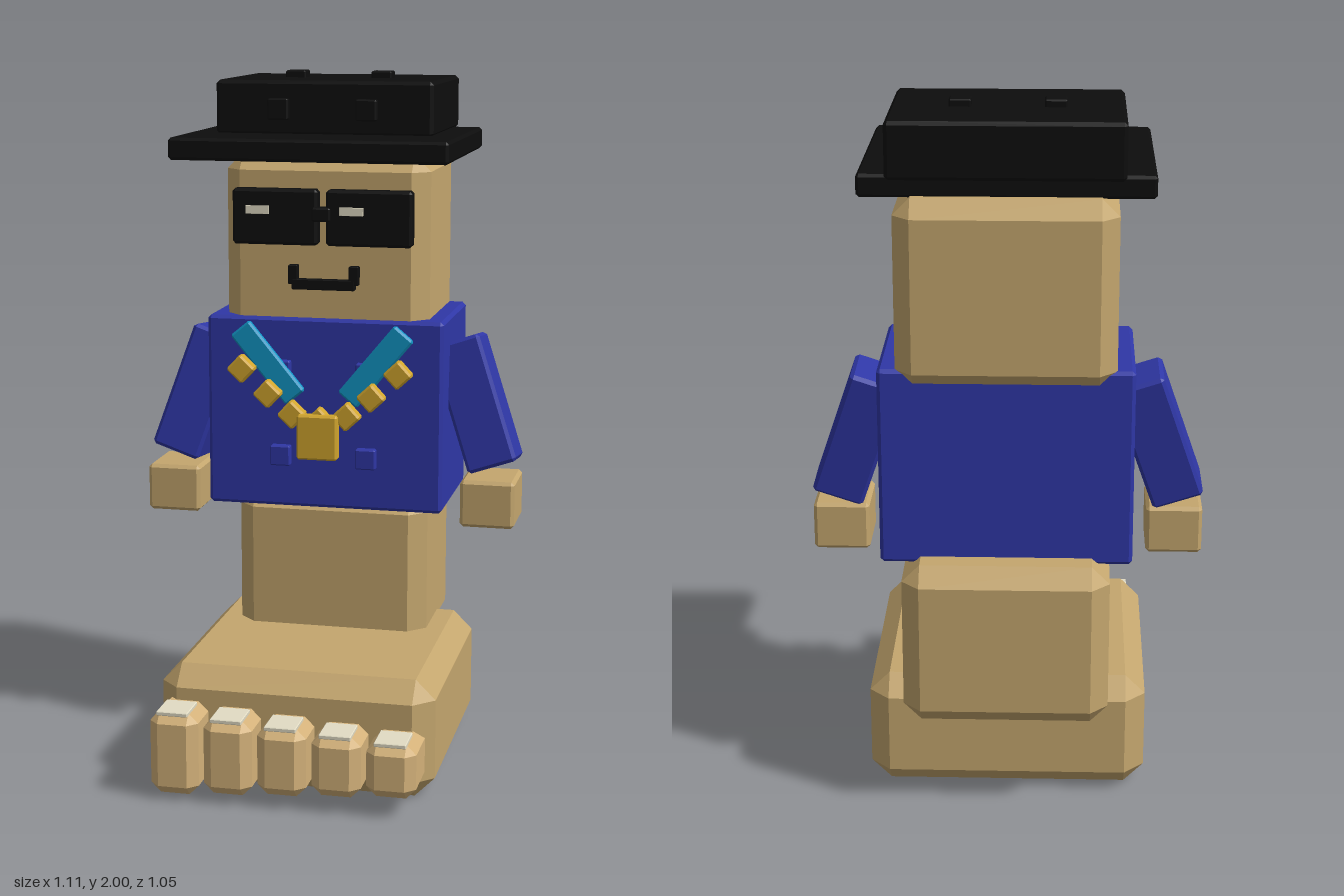
import * as THREE from 'three';
import { ConvexGeometry } from 'three/addons/geometries/ConvexGeometry.js';

const mat = (name, color) => {
  const m = new THREE.MeshStandardMaterial({ color });
  m.name = name;
  return m;
};

// Box with every edge cut off at 45 degrees by c
function chamferBox(w, h, d, c) {
  const x = w / 2, y = h / 2, z = d / 2, points = [];
  for (const sx of [-1, 1]) for (const sy of [-1, 1]) for (const sz of [-1, 1]) {
    points.push(
      new THREE.Vector3(sx * x, sy * (y - c), sz * (z - c)),
      new THREE.Vector3(sx * (x - c), sy * y, sz * (z - c)),
      new THREE.Vector3(sx * (x - c), sy * (y - c), sz * z));
  }
  return new ConvexGeometry(points);
}

export function createModel() {
  const root = new THREE.Group();
  root.name = 'footFigure';

  const skin = mat('skin', 0xc4a66e);
  const toeSkin = mat('toe skin', 0xd4b27a);
  const nail = mat('nail', 0xe2dcc4);
  const blue = mat('blue shirt', 0x2f37a6);
  const black = mat('black', 0x0d0d0d);
  const teal = mat('teal', 0x1296c6);
  const gold = mat('gold', 0xd2a62e);

  // Add a chamfered box by its limits on each axis
  function part(name, material, [x0, x1], [y0, y1], [z0, z1], c, parent = root) {
    const mesh = new THREE.Mesh(chamferBox(x1 - x0, y1 - y0, z1 - z0, c), material);
    mesh.name = name;
    mesh.position.set((x0 + x1) / 2, (y0 + y1) / 2, (z0 + z1) / 2);
    parent.add(mesh);
    return mesh;
  }
  const group = (name) => {
    const g = new THREE.Group();
    g.name = name;
    root.add(g);
    return g;
  };

  // Foot and ankle
  part('foot', skin, [-0.4, 0.395], [0, 0.345], [-0.38, 0.395], 0.057);
  part('ankle', skin, [-0.29, 0.285], [0.28, 0.755], [-0.53, -0.08], 0.05);

  // Toes shrink from the big toe outward, each with a flat nail
  const toes = group('toes');
  for (let i = 0; i < 5; i++) {
    const x = -0.32 + i * 0.155, top = 0.252 - i * 0.01, bottom = 0.012 + i * 0.011;
    part('toe', toeSkin, [x - 0.07, x + 0.07], [bottom, top], [0.3, 0.525], 0.028, toes);
    part('toenail', nail, [x - 0.045, x + 0.045], [top - 0.004, top + 0.008], [0.42, 0.522], 0.002, toes);
  }

  // Shirt, with small square studs on the chest
  part('torso', blue, [-0.352, 0.348], [0.735, 1.3], [-0.42, 0], 0.01);
  for (const x of [-0.13, 0.125]) for (const y of [0.892, 1.145])
    part('shirtStud', blue, [x - 0.03, x + 0.03], [y - 0.03, y + 0.03], [-0.01, 0.025], 0.004);

  // Arms slope outward and slightly forward, ending in hands
  for (const s of [-1, 1]) {
    const side = s > 0 ? 'left' : 'right';
    const from = new THREE.Vector3(s * 0.36, 1.22, -0.2);
    const to = new THREE.Vector3(s * 0.485, 0.855, -0.155);
    const arm = new THREE.Mesh(chamferBox(0.15, from.distanceTo(to), 0.155, 0.01), blue);
    arm.name = side + 'Arm';
    arm.position.lerpVectors(from, to, 0.5);
    arm.quaternion.setFromUnitVectors(new THREE.Vector3(0, -1, 0), to.clone().sub(from).normalize());
    root.add(arm);
    const xs = [s * 0.395, s * 0.555].sort((a, b) => a - b);
    part(side + 'Hand', skin, xs, [0.69, 0.83], [-0.23, -0.04], 0.01);
  }

  // Head
  part('head', skin, [-0.302, 0.298], [1.25, 1.772], [-0.455, -0.01], 0.048);

  // Glasses with a bridge and a thin glint on each lens
  const glasses = group('glasses');
  for (const x of [-0.14, 0.135]) {
    part('lens', black, [x - 0.125, x + 0.125], [1.515, 1.675], [-0.012, 0.034], 0.008, glasses);
    const gx = x - 0.05;
    part('lensGlint', nail, [gx - 0.035, gx + 0.035], [1.603, 1.627], [0.032, 0.038], 0.001, glasses);
  }
  part('bridge', black, [-0.03, 0.025], [1.585, 1.625], [0, 0.045], 0.005, glasses);

  // Smile: a bar with raised ends
  const mouth = group('mouth');
  part('mouthBar', black, [-0.095, 0.09], [1.385, 1.415], [-0.012, 0.015], 0.002, mouth);
  for (const x of [-0.092, 0.087])
    part('mouthCorner', black, [x - 0.014, x + 0.014], [1.4, 1.455], [-0.012, 0.014], 0.002, mouth);

  // Hat with studs on the top and front of the crown
  const hat = group('hat');
  part('brim', black, [-0.398, 0.393], [1.768, 1.83], [-0.395, 0.224], 0.008, hat);
  part('crown', black, [-0.317, 0.313], [1.825, 1.98], [-0.445, 0.008], 0.01, hat);
  for (const x of [-0.13, 0.125]) {
    part('topStud', black, [x - 0.03, x + 0.03], [1.97, 2.0], [-0.25, -0.19], 0.004, hat);
    part('frontStud', black, [x - 0.03, x + 0.03], [1.87, 1.93], [0, 0.034], 0.004, hat);
  }

  // Collar straps and beaded necklace, mirrored about the chest
  const necklace = group('necklace');
  const cx = -0.003;
  const tilted = (name, material, w, h, d, x, y, z, angle) => {
    const mesh = new THREE.Mesh(chamferBox(w, h, d, 0.006), material);
    mesh.name = name;
    mesh.position.set(cx + x, y, z);
    mesh.rotation.z = angle;
    necklace.add(mesh);
  };
  for (const s of [-1, 1]) {
    tilted('collarStrap', teal, 0.26, 0.072, 0.024, s * 0.16, 1.17, 0.028, s * 0.88);
    for (const [x, y] of [[0.231, 1.155], [0.153, 1.084], [0.081, 1.026]])
      tilted('bead', gold, 0.062, 0.062, 0.042, s * x, y, 0.055, s * 0.75);
  }
  tilted('bead', gold, 0.06, 0.06, 0.042, 0, 1.01, 0.055, Math.PI / 4);
  part('pendant', gold, [-0.063, 0.057], [0.9, 1.032], [0.06, 0.095], 0.006, necklace);

  return root;
}
